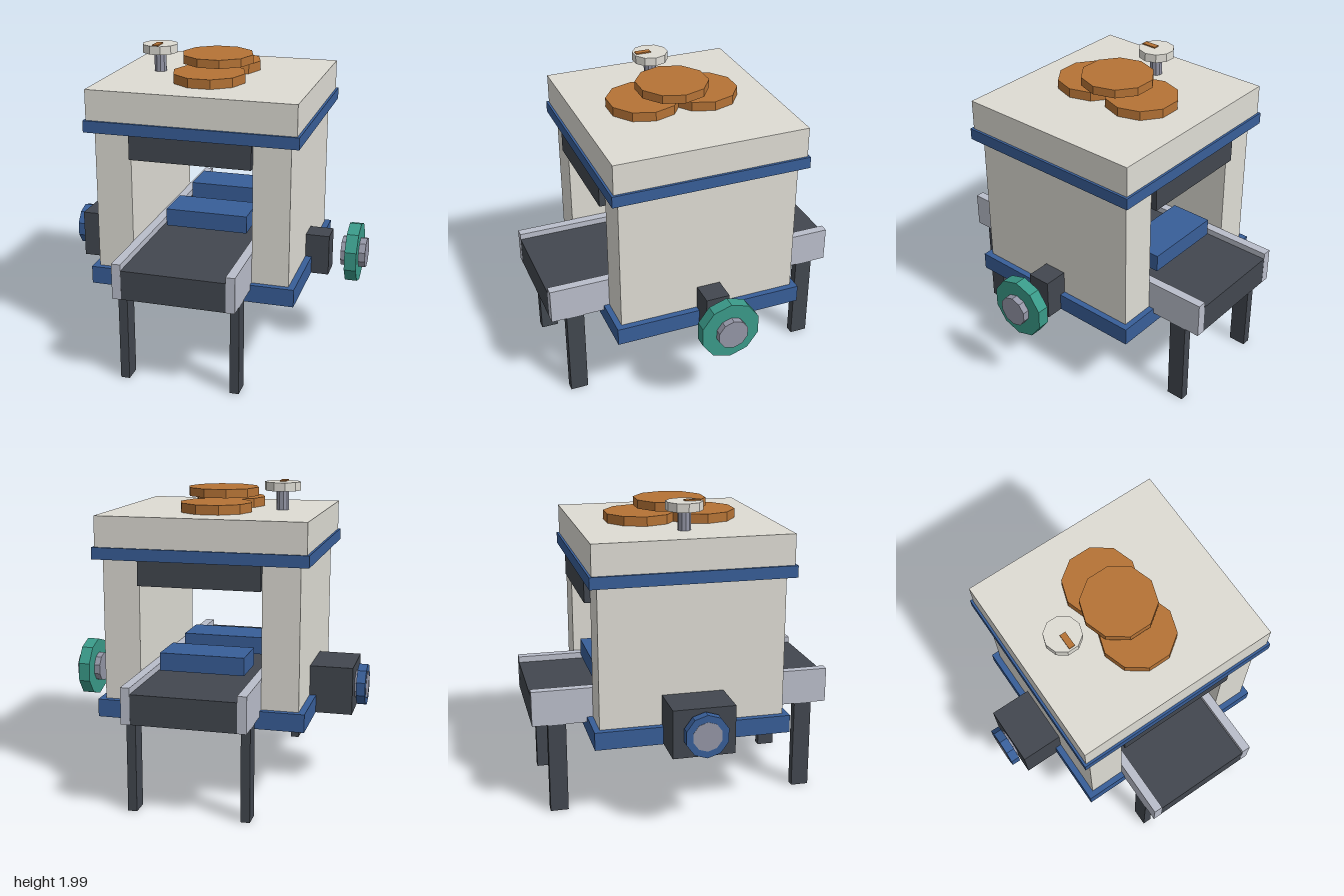
import * as THREE from 'three';

const material = (name, color) => {
  const m = new THREE.MeshStandardMaterial({ color });
  m.name = name;
  return m;
};

export function createModel() {
  const cream = material('cream panel', 0xdedcd4);
  const blue = material('blue trim', 0x385e98);
  const dark = material('dark metal', 0x42474f);
  const rail = material('light steel', 0xbabecb);
  const steel = material('steel', 0x9496a6);
  const copper = material('copper', 0xb57336);
  const teal = material('teal', 0x3a9a89);

  const model = new THREE.Group();
  model.name = 'conveyorPress';

  const add = (name, geometry, mat) => {
    const mesh = new THREE.Mesh(geometry, mat);
    mesh.name = name;
    model.add(mesh);
    return mesh;
  };

  // box given by its extents on each axis
  const box = (name, mat, [x0, x1], [y0, y1], [z0, z1]) =>
    add(name, new THREE.BoxGeometry(x1 - x0, y1 - y0, z1 - z0)
      .translate((x0 + x1) / 2, (y0 + y1) / 2, (z0 + z1) / 2), mat);

  // ten-sided faceted disc, upright along y, with corners on the x axis
  const decagon = (r, h) => {
    const g = new THREE.CylinderGeometry(r, r, h, 10).rotateY(Math.PI / 2).toNonIndexed();
    g.computeVertexNormals();
    return g;
  };
  const disc = (name, mat, r, x, [y0, y1], z) =>
    add(name, decagon(r, y1 - y0).translate(x, (y0 + y1) / 2, z), mat);
  const wheel = (name, mat, r, [x0, x1], y) =>
    add(name, decagon(r, x1 - x0).rotateZ(Math.PI / 2).translate((x0 + x1) / 2, y, 0), mat);

  const cx = -0.022; // middle of the housing

  // housing
  box('base', blue, [-0.69, 0.645], [0.515, 0.63], [-0.63, 0.63]);
  box('upperTrim', blue, [-0.705, 0.661], [1.535, 1.61], [-0.645, 0.645]);
  box('roof', cream, [-0.69, 0.645], [1.61, 1.805], [-0.63, 0.63]);
  for (const s of [-1, 1]) {
    const a = cx + s * 0.39, b = cx + s * 0.626;
    box('sideWall', cream, [Math.min(a, b), Math.max(a, b)], [0.63, 1.535], [-0.592, 0.592]);
    const z = s * 0.611;
    box('openingHood', dark, [-0.412, 0.368], [1.378, 1.535], [z - 0.02, z + 0.02]);
  }

  // conveyor with rails and legs
  box('belt', dark, [-0.355, 0.311], [0.595, 0.785], [-0.979, 0.979]);
  for (const s of [-1, 1]) {
    const x = cx + s * 0.36;
    box('sideRail', rail, [x - 0.029, x + 0.029], [0.595, 0.825], [-0.98, 0.98]);
    for (const z of [-0.823, 0.823]) {
      box('leg', dark, [x - 0.029, x + 0.029], [0, 0.595], [z - 0.058, z + 0.058]);
    }
  }

  // blocks carried through the tunnel
  for (const z of [-0.42, 0.14]) {
    box('block', blue, [-0.295, 0.25], [0.828, 0.943], [z - 0.14, z + 0.14]);
  }

  // drive on the left
  box('wheelBracket', dark, [0.6, 0.76], [0.515, 0.785], [-0.078, 0.078]);
  wheel('handWheel', teal, 0.197, [0.88, 0.957], 0.67);
  wheel('handWheelHub', steel, 0.1, [0.84, 1], 0.67);

  // motor on the right
  box('motor', dark, [-0.925, -0.64], [0.515, 0.825], [-0.197, 0.197]);
  wheel('motorWheel', blue, 0.138, [-0.998, -0.94], 0.67);
  wheel('motorShaft', steel, 0.094, [-1, -0.92], 0.67);

  // stacked weights
  for (const z of [-0.197, 0.197]) disc('lowerWeight', copper, 0.235, cx, [1.805, 1.865], z);
  disc('upperWeight', copper, 0.235, cx, [1.89, 1.945], 0);

  // dial with pointer
  disc('dialStem', steel, 0.041, -0.415, [1.805, 1.935], 0);
  disc('dialHead', cream, 0.117, -0.415, [1.93, 1.985], 0);
  box('dialPointer', copper, [-0.435, -0.396], [1.985, 1.993], [0, 0.1]);

  return model;
}
